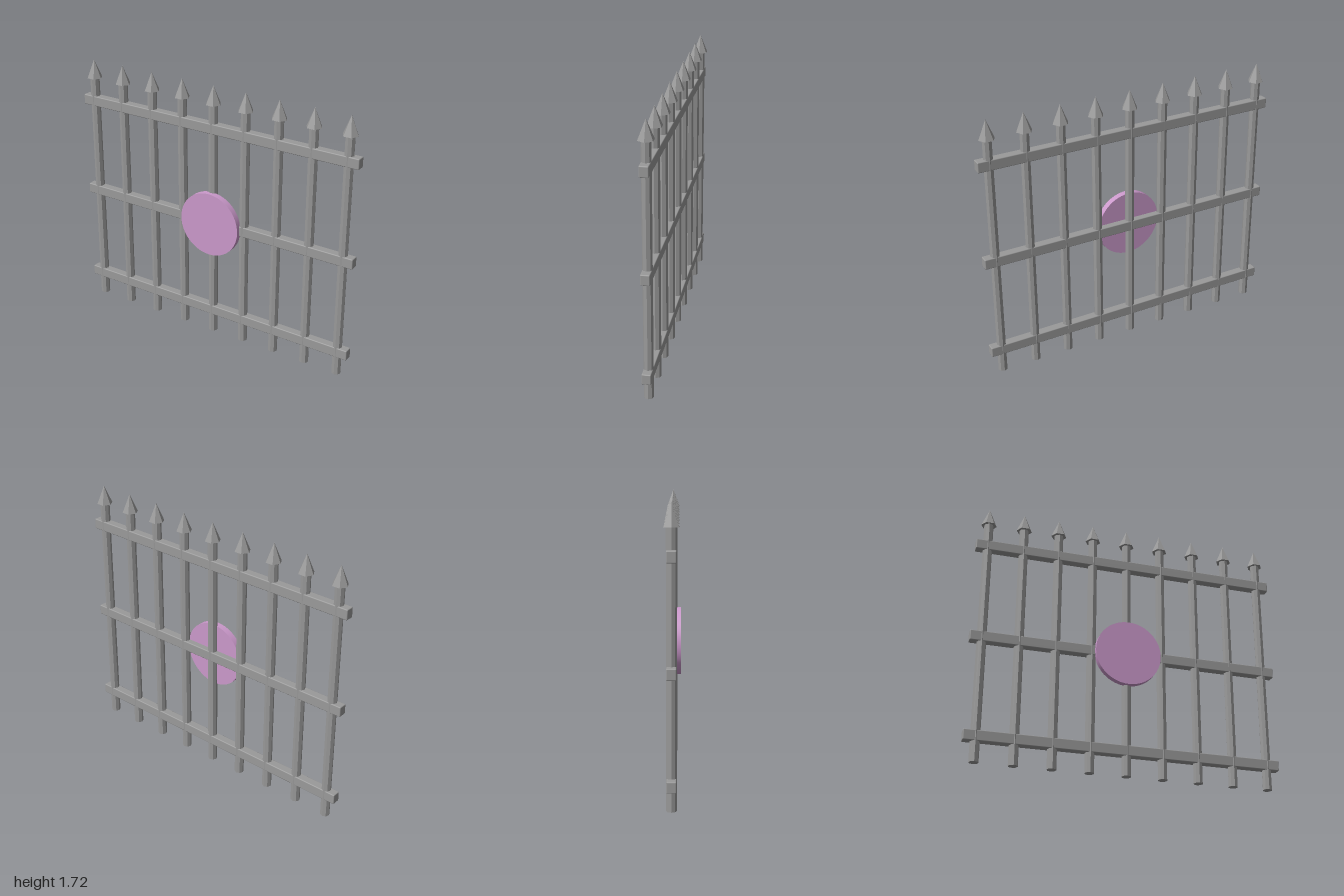
import * as THREE from 'three';
import { RoundedBoxGeometry } from 'three/addons/geometries/RoundedBoxGeometry.js';

const PICKETS = 9, SPACING = 0.231, FENCE_Z = -0.005;
const POST_HEIGHT = 1.595, TIP_HEIGHT = 0.12;

export function createModel() {
  const model = new THREE.Group();
  model.name = 'fence';

  const iron = new THREE.MeshStandardMaterial({ color: 0x9a9a9a, flatShading: true });
  iron.name = 'grey iron';
  const railIron = iron.clone(); // same colour, smooth rounded edges
  railIron.flatShading = false;
  railIron.name = 'grey iron smooth';
  const lilac = new THREE.MeshStandardMaterial({ color: 0xcb99cb });
  lilac.name = 'lilac';

  const add = (name, geometry, material, x, y, z, parent = model) => {
    const mesh = new THREE.Mesh(geometry, material);
    mesh.name = name;
    mesh.position.set(x, y, z);
    parent.add(mesh);
    return mesh;
  };

  // Upright bars with six-sided spear tips
  const barGeometry = new THREE.CylinderGeometry(0.03, 0.03, POST_HEIGHT, 8);
  const tipGeometry = new THREE.ConeGeometry(0.05, TIP_HEIGHT, 6).rotateY(Math.PI / 6);
  for (let i = 0; i < PICKETS; i++) {
    const picket = new THREE.Group();
    picket.name = 'picket';
    picket.position.set((i - (PICKETS - 1) / 2) * SPACING, 0, FENCE_Z);
    add('bar', barGeometry, iron, 0, POST_HEIGHT / 2, 0, picket);
    add('spearTip', tipGeometry, iron, 0, POST_HEIGHT + TIP_HEIGHT / 2, 0, picket);
    model.add(picket);
  }

  // Horizontal rails with softened edges
  const railGeometry = new RoundedBoxGeometry(2, 0.067, 0.056, 2, 0.006);
  for (const y of [0.16, 0.8, 1.44]) add('rail', railGeometry, railIron, 0, y, FENCE_Z);

  // Round plaque on the front
  const plaqueGeometry = new THREE.CylinderGeometry(0.213, 0.213, 0.04, 48).rotateX(Math.PI / 2);
  add('plaque', plaqueGeometry, lilac, 0, 0.8, 0.0275);

  return model;
}
